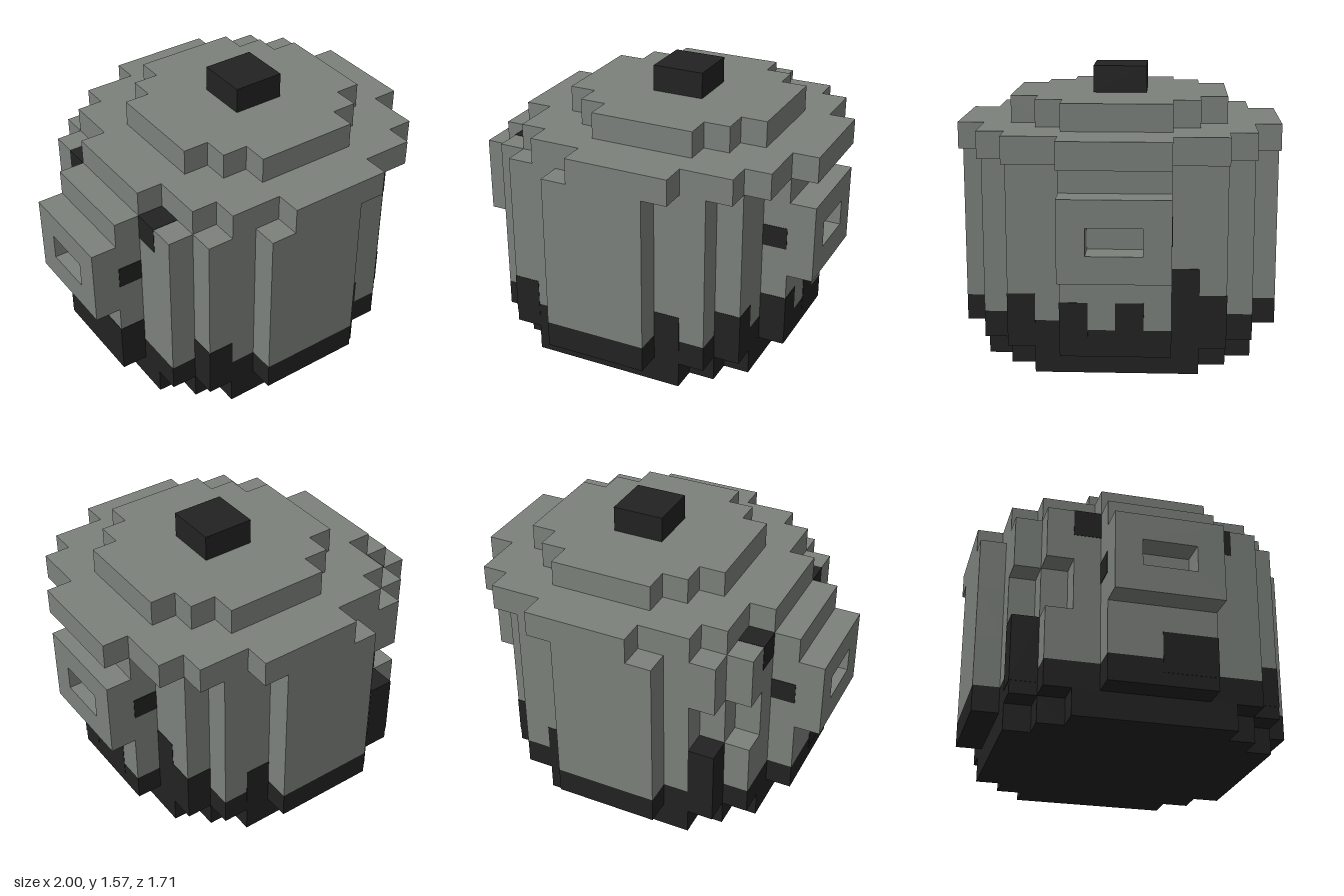
import * as THREE from 'three';

const U = 1 / 7; // one block

export function createModel() {
  const pot = new THREE.Group();
  pot.name = 'cookingPot';
  const iron = new THREE.MeshStandardMaterial({ color: 0x7c817c });
  iron.name = 'grey iron';
  const soot = new THREE.MeshStandardMaterial({ color: 0x222222 });
  soot.name = 'black soot';

  const add = (name, geometry, material, parent = pot) => {
    const mesh = new THREE.Mesh(geometry, material);
    mesh.name = name;
    parent.add(mesh);
    return mesh;
  };

  // Stair-stepped corner from [half width, half depth] pairs
  const corner = (steps) => steps.flatMap(([x, z], i) =>
    i ? [[x, steps[i - 1][1]], [x, z]] : [[x, z]]);

  // Blocky disc between heights y0 and y1; the back left corner may differ
  const disc = (name, steps, y0, y1, material, shiftX = 0, backLeft = steps) => {
    const points = [];
    for (const [sx, sz] of [[1, 1], [-1, 1], [-1, -1], [1, -1]]) {
      const q = corner(sx < 0 && sz < 0 ? backLeft : steps);
      if (sx * sz < 0) q.reverse();
      for (const [x, z] of q) points.push(new THREE.Vector2((x * sx + shiftX) * U, z * sz * U));
    }
    const g = new THREE.ExtrudeGeometry(new THREE.Shape(points),
      { depth: (y1 - y0) * U, bevelEnabled: false });
    g.rotateX(Math.PI / 2).translate(0, y1 * U, 0);
    return add(name, g, material);
  };

  // Box from block bounds, grown by a hair so that paint covers the wall
  const block = (name, x0, x1, y0, y1, z0, z1, material, grow = 0, parent = pot) => {
    const g = new THREE.BoxGeometry(
      (x1 - x0) * U + 2 * grow, (y1 - y0) * U + 2 * grow, (z1 - z0) * U + 2 * grow);
    g.translate((x0 + x1) / 2 * U, (y0 + y1) / 2 * U, (z0 + z1) / 2 * U);
    return add(name, g, material, parent);
  };

  // Base and round body, with a dent in the back left corner
  const wall = [[6, 2], [5, 4], [4, 5], [2, 6]];
  const dented = [[6, 2], [5, 3], [4, 4], [3, 5], [2, 6]];
  disc('base', [[5, 3], [4, 4], [3, 5]], 0, 1, soot);
  disc('sootyBottom', wall, 1, 2, soot);
  disc('lowerBody', wall, 2, 4, iron);
  disc('dentedBody', wall, 4, 6, iron, 0, dented);
  disc('upperBody', wall, 6, 8, iron);

  // Lid sits one block off centre
  disc('lid', wall, 8, 9, iron, 1);
  disc('lidTop', [[4, 2], [3, 3], [2, 4]], 9, 10, iron, 1);
  block('knob', 0, 2, 10, 11, -1, 1, soot);

  // Soot licks: [x, z, top] of each blackened column
  const licks = new THREE.Group();
  licks.name = 'sootLicks';
  pot.add(licks);
  for (const [x, z, top] of [
    [5, 1, 3], [5, -1, 3], [4, 3, 3], [4, -3, 4], [4, -4, 3], [2, 4, 3], [2, -5, 3],
    [-6, 1, 3], [-6, 0, 3], [-4, 4, 3], [-4, -5, 4],
  ]) block('sootLick', x, x + 1, 1.5, top, z, z + 1, soot, 0.002, licks);

  // Black spots beside the handles, and under the lid on the exposed rim
  for (const s of [-1, 1]) {
    for (const x of [-5.95, 5]) {
      block('handleSpot', x, x + 0.95, 5.1, 5.95, s * 2 - 0.02, s * 2 + 0.02, soot);
    }
    const z = s > 0 ? 2 : -3;
    block('rimSpot', -5, -4, 7, 8, z, z + 1, soot, 0.002);
  }

  // Square handles with a window
  const rect = (path, w, h) => path.moveTo(-w, -h).lineTo(w, -h).lineTo(w, h).lineTo(-w, h).closePath();
  const frame = new THREE.Shape();
  const hole = new THREE.Path();
  for (const [path, w, h] of [[frame, 2, 1.5], [hole, 1, 0.5]]) {
    path.moveTo(-w * U, -h * U);
    path.lineTo(w * U, -h * U);
    path.lineTo(w * U, h * U);
    path.lineTo(-w * U, h * U);
    path.closePath();
  }
  frame.holes.push(hole);
  for (const s of [-1, 1]) {
    const g = new THREE.ExtrudeGeometry(frame, { depth: U, bevelEnabled: false });
    g.translate(0, 0, 6 * U).rotateY(s * Math.PI / 2).translate(0, 5.5 * U, 0);
    add(s > 0 ? 'leftHandle' : 'rightHandle', g, iron);
  }
  return pot;
}
